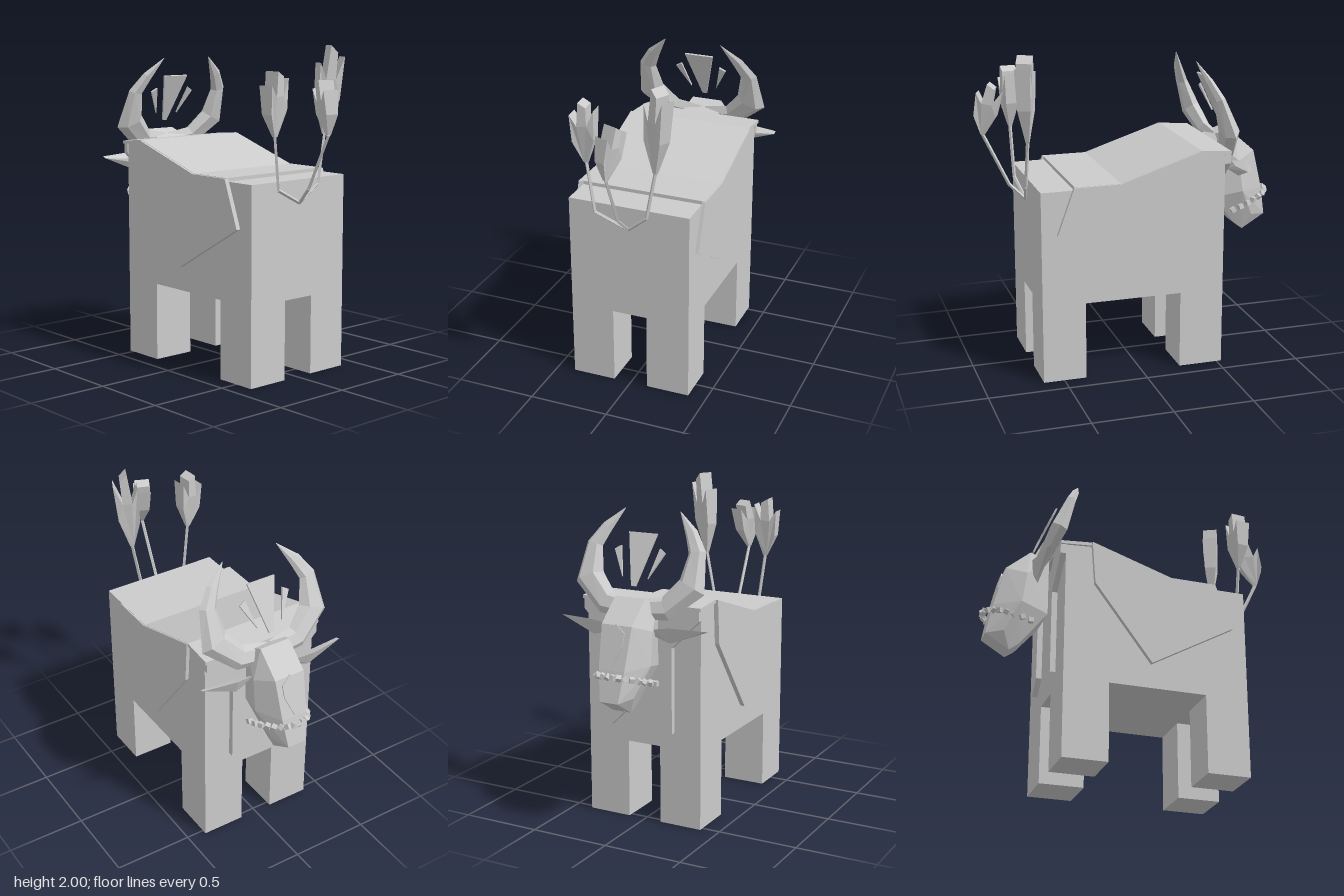
import * as THREE from 'three';
import { ConvexGeometry } from 'three/addons/geometries/ConvexGeometry.js';

const mat = new THREE.MeshStandardMaterial({ color: 0xcccccc, flatShading: true, side: THREE.DoubleSide });
const V = (x, y, z) => new THREE.Vector3(x, y, z);

function add(parent, name, geo, x = 0, y = 0, z = 0) {
  const m = new THREE.Mesh(geo, mat);
  m.name = name;
  m.position.set(x, y, z);
  parent.add(m);
  return m;
}

// outline in (x, y), extruded towards +z
function plate(points, depth) {
  const shape = new THREE.Shape(points.map(p => new THREE.Vector2(...p)));
  return new THREE.ExtrudeGeometry(shape, { depth, bevelEnabled: false });
}

// outline in (z, y), extruded from x0 to x1
function sidePlate(points, x0, x1) {
  return plate(points, x1 - x0).rotateY(-Math.PI / 2).translate(x1, 0, 0);
}

function rod(a, b, r) {
  const d = b.clone().sub(a);
  const g = new THREE.CylinderGeometry(r, r, d.length(), 4);
  g.applyQuaternion(new THREE.Quaternion().setFromUnitVectors(V(0, 1, 0), d.normalize()));
  return g.translate(...a.clone().add(b).multiplyScalar(0.5).toArray());
}

// curved horn lofted from flattened rings that lie across a tilted plane
function hornGeometry() {
  const path = [[0.02, 1.35, -0.63, 0.06], [0.2, 1.37, -0.615, 0.075], [0.345, 1.5, -0.565, 0.095],
    [0.345, 1.69, -0.5, 0.055], [0.285, 1.79, -0.455, 0.04], [0.185, 1.905, -0.405, 0.002]];
  const n = 6, pos = [], idx = [], N = V(0, -0.37, 0.93);
  const pts = path.map(p => V(p[0], p[1], p[2]));
  pts.forEach((p, i) => {
    const T = pts[Math.min(i + 1, pts.length - 1)].clone().sub(pts[Math.max(i - 1, 0)]).normalize();
    const B = N.clone().cross(T).normalize();
    for (let k = 0; k < n; k++) {
      const a = k / n * Math.PI * 2, r = path[i][3];
      const q = p.clone().addScaledVector(B, r * Math.cos(a)).addScaledVector(N, 0.6 * r * Math.sin(a));
      pos.push(q.x, q.y, q.z);
      if (i) {
        const k2 = (k + 1) % n, a0 = (i - 1) * n, b0 = i * n;
        idx.push(a0 + k, a0 + k2, b0 + k2, a0 + k, b0 + k2, b0 + k);
      }
    }
  });
  const g = new THREE.BufferGeometry();
  g.setAttribute('position', new THREE.Float32BufferAttribute(pos, 3));
  g.setIndex(idx);
  const flat = g.toNonIndexed();
  flat.computeVertexNormals();
  return flat;
}

// pronged tail tuft, pinched at its base
function tuftGeometry(height, depth) {
  const g = plate([[-0.012, 0], [0.012, 0], [0.07, 0.4], [0.085, 0.88], [0.035, 0.62], [0.04, 0.92],
    [-0.005, 1], [-0.025, 0.62], [-0.065, 0.8], [-0.065, 0.36]], depth).translate(0, 0, -depth / 2);
  const p = g.attributes.position;
  for (let i = 0; i < p.count; i++) {
    const y = p.getY(i);
    p.setZ(i, p.getZ(i) * Math.min(1, 0.2 + 1.6 * y));
    p.setY(i, y * height);
  }
  g.computeVertexNormals();
  return g;
}

function buildBody(root) {
  const body = new THREE.Group();
  body.name = 'body';
  root.add(body);
  add(body, 'torso', sidePlate([[0.63, 0.49], [0.63, 1.21], [0.14, 1.21], [-0.37, 1.38], [-0.53, 1.365],
    [-0.53, 0.49]], -0.385, 0.385));
  for (const s of [1, -1]) {
    add(body, 'rearLeg', new THREE.BoxGeometry(0.275, 0.49, 0.27), s * 0.2475, 0.245, 0.495);
    add(body, 'frontLeg', new THREE.BoxGeometry(0.275, 0.49, 0.28), s * 0.2475, 0.245, -0.39);
    // blanket sides
    const flap = [[0.43, 1.23], [0.14, 1.23], [-0.37, 1.395], [-0.35, 1.12], [0.01, 0.64], [0.535, 0.94]];
    add(body, 'blanketSide', s > 0 ? sidePlate(flap, 0.386, 0.408) : sidePlate(flap, -0.415, -0.386));
    // scarf ends hanging down the chest
    const scarf = [[0.39, 1.37], [0.39, 1.3], [0.21, 1.12], [0.21, 0.59], [0.12, 0.68], [0.12, 1.2], [0.24, 1.37]];
    add(body, 'scarfEnd', plate(scarf.map(p => [p[0] * s, p[1]]), 0.035), 0, 0, -0.565);
  }
  add(body, 'blanketTop', sidePlate([[0.425, 1.205], [0.425, 1.232], [0.14, 1.232], [-0.37, 1.397],
    [-0.565, 1.38], [-0.565, 1.36], [-0.37, 1.375], [0.14, 1.205]], -0.4, 0.4));
}

function buildHead(root) {
  const head = new THREE.Group();
  head.name = 'head';
  root.add(head);
  // skull corners: half width, y, z
  const corners = [[0.12, 1.38, -0.565], [0.1, 1.43, -0.68], [0.1, 1.295, -0.835], [0.165, 1.25, -0.71],
    [0.085, 1.04, -0.9], [0.17, 1.05, -0.74], [0.06, 0.855, -0.935], [0.105, 0.87, -0.83],
    [0.06, 0.765, -0.785], [0.07, 0.81, -0.725], [0.12, 1.01, -0.565]];
  add(head, 'skull', new ConvexGeometry(corners.flatMap(([x, y, z]) => [V(x, y, z), V(-x, y, z)])));
  // raised face plate
  const mark = add(head, 'facePlate',
    plate([[0, 0.02], [0.06, -0.03], [0.055, -0.11], [0, -0.24], [-0.055, -0.11], [-0.06, -0.03]], 0.014),
    0, 1.285, -0.845);
  mark.rotation.x = 0.25;
  // string of beads around the muzzle
  for (let i = 0; i < 17; i++) {
    const t = (i / 16 - 0.5) * Math.PI, c = Math.cos(t);
    const bead = add(head, 'bead', new THREE.BoxGeometry(0.03, 0.03, 0.03),
      0.165 * Math.sin(t), 0.93 + 0.085 * c, -0.68 - 0.265 * c);
    bead.rotation.set(i * 0.7, t, i * 1.1);
  }
  // horns, ears and side spikes, mirrored
  const horn = hornGeometry();
  const ear = new ConvexGeometry([V(0.14, 1.25, -0.67), V(0.14, 1.2, -0.64), V(0.27, 1.28, -0.71),
    V(0.26, 1.18, -0.67), V(0.28, 1.25, -0.64), V(0.485, 1.275, -0.67), V(0.485, 1.265, -0.64)]);
  const spike = plate([[0.17, 0.21], [0.13, 0.235], [0.085, 0.05]], 0.012);
  for (const s of [1, -1]) {
    add(head, 'horn', horn).scale.x = s;
    add(head, 'ear', ear).scale.x = s;
    const sp = add(head, 'crownSpike', spike, 0, 1.49, -0.645);
    sp.scale.x = s;
    sp.rotation.x = 0.39;
  }
  const mid = add(head, 'centreSpike', plate([[-0.015, 0], [0.015, 0], [0.095, 0.32], [-0.095, 0.32]], 0.012),
    0, 1.49, -0.645);
  mid.rotation.x = 0.39;
}

function buildTail(root) {
  const tail = new THREE.Group();
  tail.name = 'tail';
  root.add(tail);
  const start = V(0, 1.07, 0.635);
  const strands = [
    { bend: V(-0.2, 1.165, 0.66), end: V(-0.24, 1.48, 0.67), h: 0.38, turn: 0.1, lean: 0.06 },
    { bend: V(-0.02, 1.165, 0.73), end: V(-0.02, 1.49, 0.885), h: 0.32, turn: 1.2, lean: -0.15 },
    { bend: V(0.13, 1.18, 0.66), end: V(0.185, 1.47, 0.655), h: 0.53, turn: -0.45, lean: -0.05 },
  ];
  for (const { bend, end, h, turn, lean } of strands) {
    add(tail, 'strand', rod(start, bend, 0.011));
    add(tail, 'strand', rod(bend, end, 0.011));
    const tuft = add(tail, 'tuft', tuftGeometry(h, 0.095), end.x, end.y, end.z);
    tuft.rotation.set(0, turn, lean);
  }
}

export function createModel() {
  const root = new THREE.Group();
  root.name = 'hornedBeast';
  buildBody(root);
  buildHead(root);
  buildTail(root);
  return root;
}
